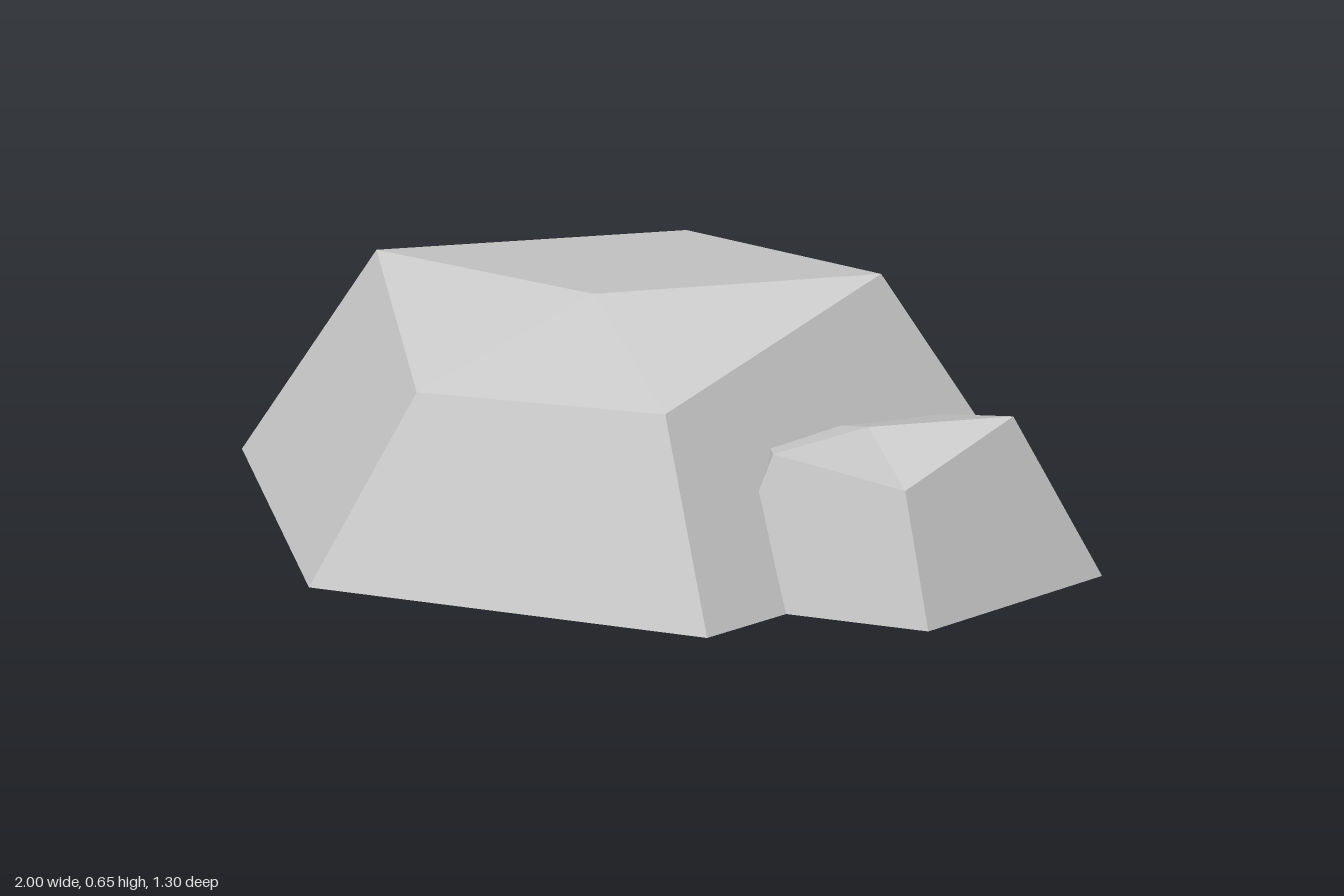
import * as THREE from 'three';

// A faceted boulder: side walls from a foot ring up to a rim ring, and a fan
// of faces meeting at the crown. It is open underneath.
function boulder(name, foot, rim, crown, material) {
  const positions = [];
  const normals = [];

  // Adds one flat-looking face; all its triangles share one normal.
  function addFace(corners) {
    const [a, b, c, d] = corners.map((p) => new THREE.Vector3(...p));
    const across = d ? d.clone().sub(b) : c.clone().sub(b);
    const normal = (d ? c : b).clone().sub(a).cross(across).normalize();
    for (const p of d ? [a, b, c, a, c, d] : [a, b, c]) {
      positions.push(p.x, p.y, p.z);
      normals.push(normal.x, normal.y, normal.z);
    }
  }

  foot.forEach(([x, z], i) => {
    const j = (i + 1) % foot.length;
    addFace([[foot[j][0], 0, foot[j][1]], [x, 0, z], rim[i], rim[j]]); // wall
    addFace([crown, rim[j], rim[i]]); // crown facet
  });

  const geometry = new THREE.BufferGeometry();
  geometry.setAttribute('position', new THREE.Float32BufferAttribute(positions, 3));
  geometry.setAttribute('normal', new THREE.Float32BufferAttribute(normals, 3));
  const mesh = new THREE.Mesh(geometry, material);
  mesh.name = name;
  return mesh;
}

export function createModel() {
  const group = new THREE.Group();
  group.name = 'rocks';
  const stone = new THREE.MeshStandardMaterial({ color: 0xc9c9c9, side: THREE.DoubleSide });
  stone.name = 'stone grey';

  group.add(boulder('largeRock',
    [[-1, -0.37], [0.145, -0.652], [0.885, 0.055], [0.095, 0.65], [-0.83, 0.39]],
    [[-0.687, 0.56, -0.26], [0.025, 0.522, -0.465], [0.485, 0.655, 0.055],
      [-0.005, 0.495, 0.492], [-0.583, 0.457, 0.3]],
    [-0.18, 0.598, 0.055], stone));

  // Smaller rock leaning into the large one
  group.add(boulder('smallRock',
    [[0.125, 0.12], [0.605, -0.065], [1, 0.29], [0.605, 0.604], [0.107, 0.469]],
    [[0.2, 0.325, 0.16], [0.55, 0.288, 0.025], [0.795, 0.404, 0.29],
      [0.55, 0.319, 0.522], [0.243, 0.365, 0.425]],
    [0.46, 0.374, 0.29], stone));

  return group;
}
